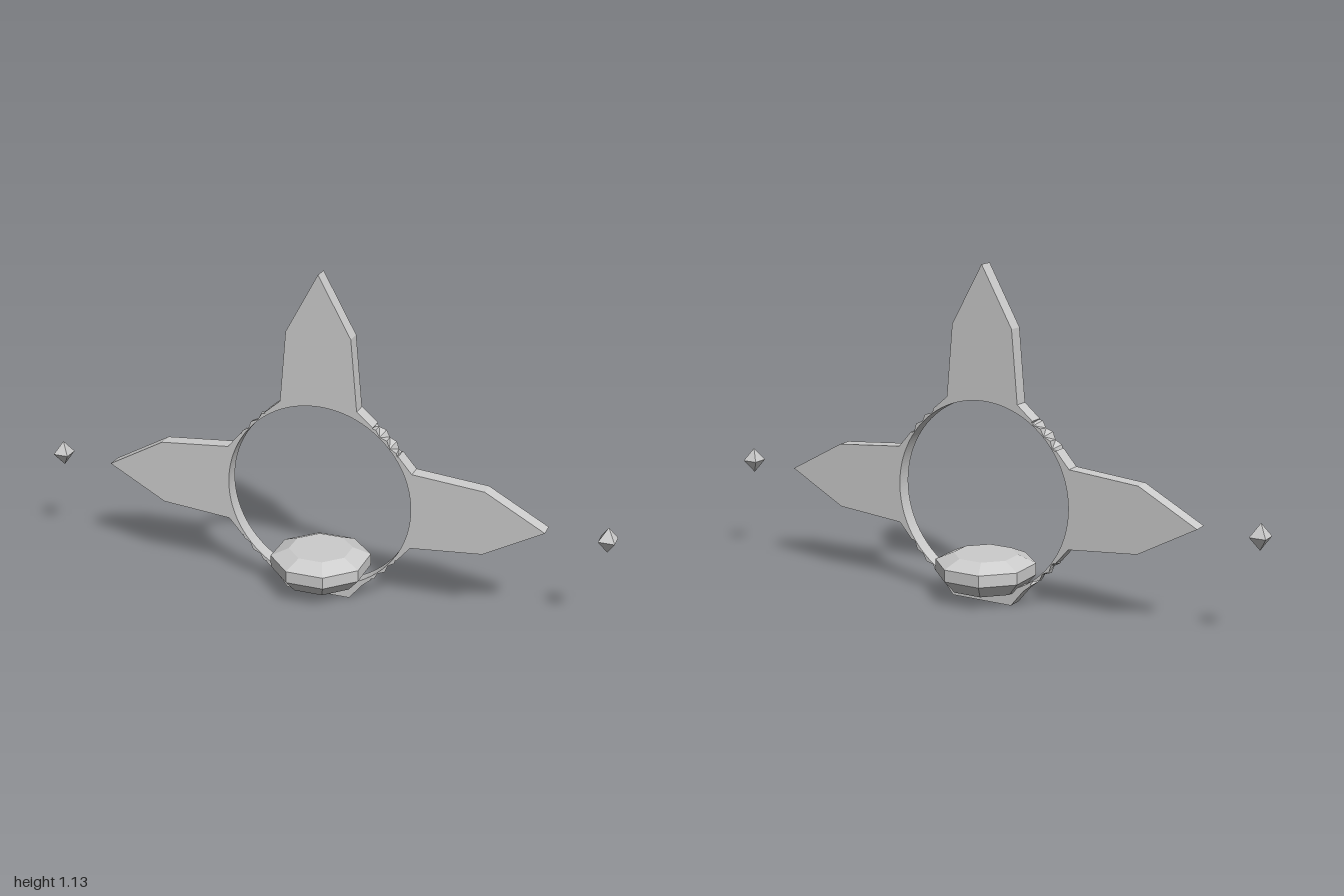
import * as THREE from 'three';

const R = 0.325;      // inner radius of the ring
const HALF = 0.026;   // half thickness front to back
const CY = 0.36;      // ring centre height
const rad = THREE.MathUtils.degToRad;

// Flat blade whose base follows the ring; the side points run outward from the ring
function bladeGeometry(side, baseAngle) {
  const a = rad(baseAngle);
  const shape = new THREE.Shape();
  shape.absarc(0, 0, R, Math.PI / 2 + a, Math.PI / 2 - a, true);
  const right = side.map(([x, y]) => [x, y]);
  const left = side.filter(([x]) => x > 0).map(([x, y]) => [-x, y]).reverse();
  for (const [x, y] of [...right, ...left]) shape.lineTo(x, y);
  shape.closePath();
  const geo = new THREE.ExtrudeGeometry(shape, { depth: HALF * 2, bevelEnabled: false, curveSegments: 16 });
  return geo.translate(0, 0, -HALF);
}

// Thin curved link with an outer edge that zigzags between front and back
function linkGeometry(from, to, steps) {
  const pos = [], index = [];
  for (let i = 0; i <= steps; i++) {
    const a = rad(from + (to - from) * i / steps);
    const bump = i % 2 ? 0.338 : 0.328;
    const other = i % 2 ? 0.328 : 0.338;
    for (const [r, z] of [[R, HALF], [bump, HALF], [other, -HALF], [R, -HALF]]) {
      pos.push(Math.cos(a) * r, Math.sin(a) * r, z);
    }
  }
  for (let i = 0; i < steps; i++) {
    for (let k = 0; k < 4; k++) {
      const a = i * 4 + k, b = i * 4 + (k + 1) % 4, c = a + 4, d = b + 4;
      if (i % 2) index.push(a, b, c, b, d, c);
      else index.push(a, b, d, a, d, c);
    }
  }
  const geo = new THREE.BufferGeometry();
  geo.setAttribute('position', new THREE.Float32BufferAttribute(pos, 3));
  geo.setIndex(index);
  geo.computeVertexNormals();
  return geo;
}

export function createModel() {
  const model = new THREE.Group();
  const grey = new THREE.MeshStandardMaterial({ color: 0xcccccc, flatShading: true, side: THREE.DoubleSide });
  grey.name = 'grey';

  const add = (name, geo, x, y, turn = 0) => {
    const mesh = new THREE.Mesh(geo, grey);
    mesh.name = name;
    mesh.position.set(x, y, 0);
    mesh.rotation.z = turn;
    model.add(mesh);
    return mesh;
  };

  // Three pointed blades
  const blade = bladeGeometry([[0.19, 0.278], [0.134, 0.326], [0.112, 0.572], [0, 0.775]], 34.5);
  add('topBlade', blade, 0, CY);
  add('leftBlade', blade, 0, CY, -Math.PI / 2);
  add('rightBlade', blade, 0, CY, Math.PI / 2);

  // Cut-off blade that forms the foot
  add('foot', bladeGeometry([[0.19, 0.278], [0.158, 0.305], [0.113, 0.36]], 34.5), 0, CY, Math.PI);

  // Links between the blades
  const link = linkGeometry(32, 58, 6);
  for (let i = 0; i < 4; i++) add('ringLink', link, 0, CY, i * Math.PI / 2);

  // Eight-sided gem resting in the ring
  const profile = [[0, 0.045], [0.13, 0.045], [0.171, 0.09], [0.171, 0.131], [0.109, 0.158], [0, 0.158]];
  const gem = new THREE.LatheGeometry(profile.map(([x, y]) => new THREE.Vector2(x, y)), 8);
  add('gem', gem.rotateY(Math.PI / 8), 0, 0);

  // Small floating diamonds, four-sided and pointed at both ends
  const diamondProfile = [[0, -0.044], [0.027 * Math.SQRT2, 0], [0, 0.044]];
  const diamond = new THREE.LatheGeometry(diamondProfile.map(([x, y]) => new THREE.Vector2(x, y)), 4);
  diamond.rotateY(Math.PI / 4);
  add('leftDiamond', diamond, 0.973, CY);
  add('rightDiamond', diamond, -0.973, CY);

  return model;
}
